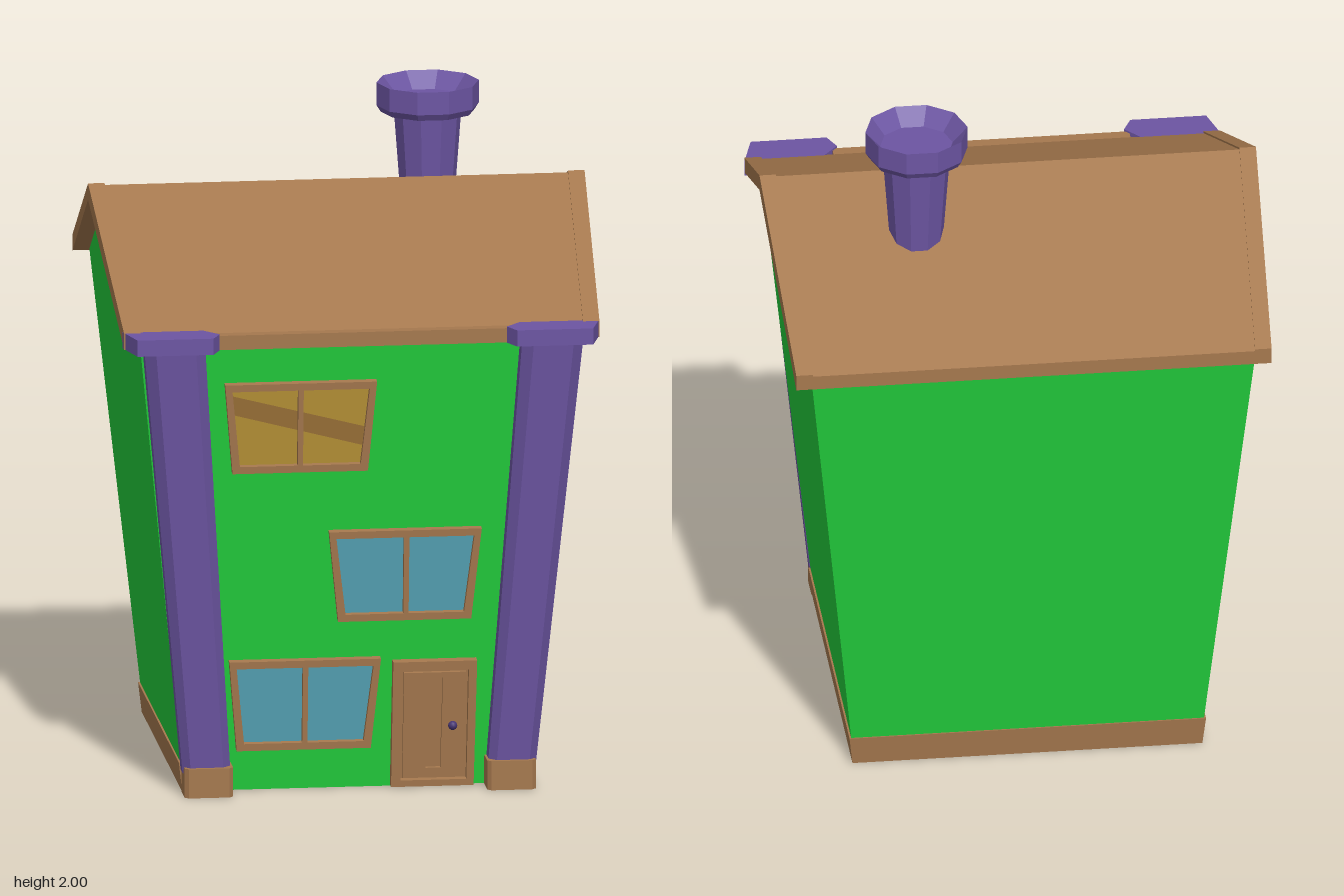
import * as THREE from 'three';

const mat = (name, color, side = THREE.FrontSide) => {
  const m = new THREE.MeshStandardMaterial({ color, side });
  m.name = name;
  return m;
};

export function createModel() {
  const green = mat('green wall', 0x22cc3c, THREE.DoubleSide);
  const purple = mat('purple trim', 0x6c55a2);
  const brown = mat('brown wood', 0xa5784e);
  const blue = mat('blue glass', 0x54a2b4, THREE.DoubleSide);
  const yellow = mat('yellow glass', 0xb69236, THREE.DoubleSide);
  const stripeBrown = mat('glass stripe', 0x9a7037, THREE.DoubleSide);
  const knobPurple = mat('dark purple knob', 0x453472);

  const house = new THREE.Group();
  house.name = 'house';
  const add = (name, geometry, material, parent = house) => {
    const mesh = new THREE.Mesh(geometry, material);
    mesh.name = name;
    parent.add(mesh);
    return mesh;
  };

  // Flat-faced geometry from convex polygons, each fanned into triangles
  const faces = (polys) => {
    const out = [];
    for (const p of polys)
      for (let i = 1; i < p.length - 1; i++) out.push(...p[0], ...p[i], ...p[i + 1]);
    const g = new THREE.BufferGeometry();
    g.setAttribute('position', new THREE.Float32BufferAttribute(out, 3));
    g.computeVertexNormals();
    return g;
  };
  // Solid between two matching loops, counterclockwise from above
  const prism = (bottom, top) => {
    const sides = bottom.map((b, i) => {
      const j = (i + 1) % bottom.length;
      return [b, bottom[j], top[j], top[i]];
    });
    return faces([...sides, top, [...bottom].reverse()]);
  };
  const mirror = (loop, s) => (s > 0 ? loop : loop.map(([x, y, z]) => [-x, y, z]).reverse());
  const mirrored = (bottom, top, s) => {
    const b = mirror(bottom, s), t = mirror(top, s);
    return prism(b, t);
  };
  const level = (pts, y) => pts.map(([x, z]) => [x, y, z]);

  // Walls lean outward as they rise; open underneath
  const halfWidth = (y) => 0.525 + 0.104 * y;
  const frontZ = (y) => 0.492 + 0.0916 * y;
  const backZ = (y) => -0.542 - 0.113 * y;
  const rectWall = (zAt) => [[-1, 0], [1, 0], [1, 1.4], [-1, 1.4]]
    .map(([s, y]) => [s * halfWidth(y), y, zAt(y)]);
  add('frontWall', faces([rectWall(frontZ)]), green);
  add('backWall', faces([rectWall(backZ).reverse()]), green);
  for (const s of [1, -1]) {
    const outline = [[0, frontZ(0)], [0, backZ(0)], [1.4, backZ(1.4)], [1.71, -0.04], [1.4, frontZ(1.4)]]
      .map(([y, z]) => [s * halfWidth(y), y, z]);
    add('sideWall', faces([s > 0 ? outline : outline.reverse()]), green);
  }

  // Base boards along the sides and back
  for (const s of [1, -1])
    add('sideBase', mirrored(
      level([[0.53, 0.5], [0.53, -0.547], [0.505, -0.547], [0.505, 0.5]], 0),
      level([[0.54, 0.5], [0.54, -0.557], [0.515, -0.557], [0.515, 0.5]], 0.09), s), brown);
  add('backBase', prism(
    level([[0.53, -0.52], [0.53, -0.547], [-0.53, -0.547], [-0.53, -0.52]], 0),
    level([[0.54, -0.53], [0.54, -0.557], [-0.54, -0.557], [-0.54, -0.53]], 0.09)), brown);

  // Chamfered corner pillars with feet and capitals
  const octagon = (x0, x1, z0, z1, c, back) => [[x1, z1 - c], [x1, z0 + back], [x1 - c, z0], [x0 + c, z0],
    [x0, z0 + back], [x0, z1 - c], [x0 + c, z1], [x1 - c, z1]];
  for (const s of [1, -1]) {
    add('pillar', mirrored(
      level(octagon(0.39, 0.535, 0.465, 0.575, 0.023, 0.035), 0.07),
      level(octagon(0.48, 0.665, 0.585, 0.705, 0.032, 0.035), 1.41), s), purple);
    const foot = octagon(0.385, 0.532, 0.465, 0.59, 0.012, 0.03);
    add('pillarFoot', mirrored(level(foot, 0), level(foot, 0.09), s), brown);
    const cap = [[0.722, 0.6], [0.69, 0.715], [0.46, 0.715], [0.435, 0.66], [0.485, 0.6]].reverse();
    add('pillarCapital', mirrored(level(cap, 1.4), level(cap, 1.45), s), purple);
  }

  // Roof slopes with slightly raised verges; wider at the ridge
  const slopes = [
    { name: 'front', a: [0.72, 1.4, 0.62], b: [0.752, 1.71, -0.04] },
    { name: 'back', a: [0.752, 1.71, -0.04], b: [0.72, 1.393, -0.715] },
  ];
  for (const { name, a, b } of slopes) {
    const slab = (x0, x1, h) => {
      const loop = (dy) => [[x1(a[0]), a[1] + dy, a[2]], [x1(b[0]), b[1] + dy, b[2]],
        [x0(b[0]), b[1] + dy, b[2]], [x0(a[0]), a[1] + dy, a[2]]];
      return [loop(0), loop(h)];
    };
    add(name + 'Roof', prism(...slab((w) => 0.05 - w, (w) => w - 0.05, 0.044)), brown);
    for (const s of [1, -1])
      add(name + 'Verge', mirrored(...slab((w) => w - 0.05, (w) => w, 0.05), s), brown);
  }
  const eave = [[0.45, 0.657], [0.45, 0.6], [-0.45, 0.6], [-0.45, 0.657]];
  add('frontEave', prism(level(eave, 1.4), level(eave, 1.444)), brown);

  // Ten-sided chimney with a hollowed cap
  const profile = [[0.075, 1.55], [0.102, 1.91], [0.142, 1.91], [0.155, 1.93], [0.155, 2], [0.11, 1.95], [0, 1.95]]
    .map(([r, y]) => new THREE.Vector2(r, y));
  const chimneyGeometry = new THREE.LatheGeometry(profile, 10, Math.PI / 2).toNonIndexed();
  chimneyGeometry.computeVertexNormals();
  add('chimney', chimneyGeometry, purple).position.set(0.3, 0, -0.24);

  // Front fittings lie in the plane of the leaning wall
  const front = new THREE.Group();
  front.name = 'frontFittings';
  front.position.z = frontZ(0);
  front.rotation.x = Math.atan(0.0916);
  house.add(front);
  const shape = (pts, Type = THREE.Shape) => new Type(pts.map(([x, y]) => new THREE.Vector2(x, y)));
  const extrude = (s, depth) => new THREE.ExtrudeGeometry(s, { depth, bevelEnabled: false });
  const plate = (name, pts, z, material) =>
    (add(name, new THREE.ShapeGeometry(shape(pts)), material, front).position.z = z);

  // Tapered window: bottom and top edges, each [y, left, right]
  const makeWindow = ([y0, l0, r0], [y1, l1, r1], mid, glass) => {
    const t = 0.022, m = 0.008;
    const frame = shape([[l0, y0], [r0, y0], [r1, y1], [l1, y1]]);
    frame.holes.push(
      shape([[l0 + t, y0 + t], [l1 + t, y1 - t], [mid - m, y1 - t], [mid - m, y0 + t]], THREE.Path),
      shape([[mid + m, y0 + t], [mid + m, y1 - t], [r1 - t, y1 - t], [r0 - t, y0 + t]], THREE.Path));
    add('windowFrame', extrude(frame, 0.025), brown, front);
    plate('windowGlass', [[l0 + 0.01, y0 + 0.01], [r0 - 0.01, y0 + 0.01], [r1 - 0.01, y1 - 0.01], [l1 + 0.01, y1 - 0.01]], 0.006, glass);
  };
  makeWindow([1.01, -0.39, 0.02], [1.292, -0.415, 0.045], -0.185, yellow);
  makeWindow([0.532, -0.065, 0.338], [0.817, -0.095, 0.367], 0.14, blue);
  makeWindow([0.13, -0.368, 0.038], [0.412, -0.393, 0.066], -0.162, blue);
  plate('glassStripe', [[-0.39, 1.193], [0.02, 1.083], [0.023, 1.143], [-0.394, 1.253]], 0.01, stripeBrown);

  // Door: surround, leaf with a sunken slot, and knob
  const surround = shape([[0.1, 0.005], [0.35, 0.005], [0.357, 0.4], [0.103, 0.4]]);
  surround.holes.push(shape([[0.128, 0.025], [0.13, 0.372], [0.332, 0.372], [0.328, 0.025]], THREE.Path));
  add('doorSurround', extrude(surround, 0.03), brown, front);
  const leaf = shape([[0.135, 0.03], [0.322, 0.03], [0.325, 0.362], [0.137, 0.362]]);
  leaf.holes.push(shape([[0.205, 0.06], [0.203, 0.345], [0.255, 0.345], [0.25, 0.06]], THREE.Path));
  add('doorLeaf', extrude(leaf, 0.02), brown, front);
  plate('doorBack', [[0.11, 0.01], [0.34, 0.01], [0.345, 0.39], [0.11, 0.39]], 0.008, brown);
  add('doorKnob', new THREE.SphereGeometry(0.014, 12, 8), knobPurple, front).position.set(0.285, 0.195, 0.028);

  return house;
}
